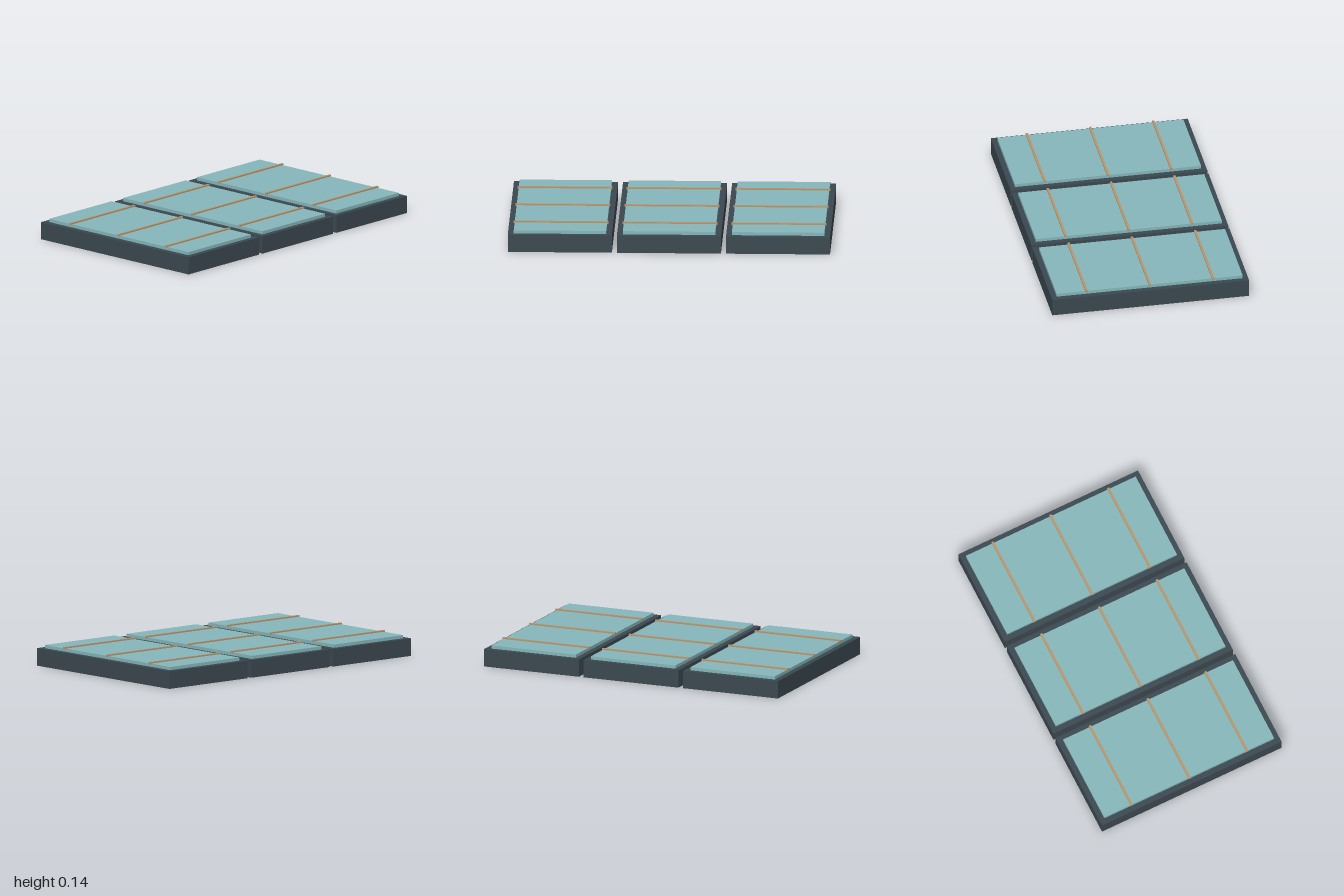
import * as THREE from 'three';

export function createModel() {
  const model = new THREE.Group();
  model.name = 'solarPanelArray';

  const frameMat = new THREE.MeshStandardMaterial({ color: 0x3b4850 });
  const glassMat = new THREE.MeshStandardMaterial({ color: 0x86b7bb });
  const barMat = new THREE.MeshStandardMaterial({ color: 0xb8976f });

  // Box given by its size, bottom height and z position
  function addBox(parent, name, material, [w, h, d], bottom, z = 0) {
    const mesh = new THREE.Mesh(new THREE.BoxGeometry(w, h, d), material);
    mesh.name = name;
    mesh.position.set(0, bottom + h / 2, z);
    parent.add(mesh);
  }

  // Three identical panels side by side
  for (const x of [-0.677, 0, 0.677]) {
    const panel = new THREE.Group();
    panel.name = 'panel';
    panel.position.x = x;

    // Solid dark tray with a raised glass sheet
    addBox(panel, 'frame', frameMat, [0.646, 0.11, 1.244], 0);
    addBox(panel, 'glass', glassMat, [0.574, 0.022, 1.176], 0.108);

    // Thin cross bars over the glass
    for (const z of [-0.4, 0, 0.4]) {
      addBox(panel, 'crossBar', barMat, [0.588, 0.013, 0.015], 0.126, z);
    }
    model.add(panel);
  }
  return model;
}
